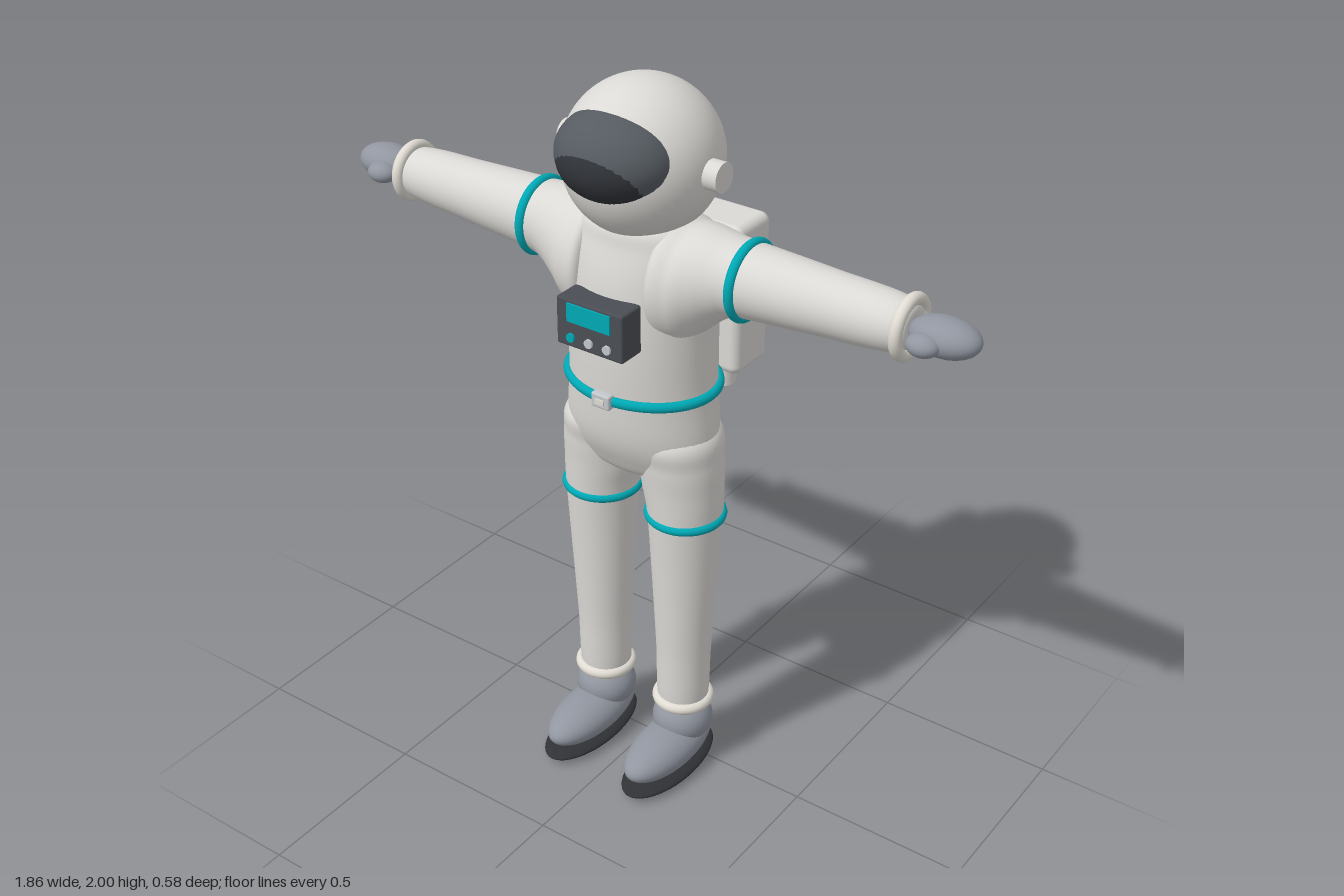
import * as THREE from 'three';
import { RoundedBoxGeometry } from 'three/addons/geometries/RoundedBoxGeometry.js';

const mat = (name, color) => {
  const m = new THREE.MeshStandardMaterial({ color });
  m.name = name;
  return m;
};

// Smooth closed loft along y through sections [y, xOffset, xRadius, zRadius].
function loft(sections, steps = 48, sides = 48) {
  const path = new THREE.SplineCurve(sections.map(s => new THREE.Vector2(s[0], s[1])));
  const size = new THREE.SplineCurve(sections.map(s => new THREE.Vector2(s[2], s[3])));
  const pos = [], index = [];
  for (let i = 0; i <= steps; i++) {
    const p = path.getPoint(i / steps), r = size.getPoint(i / steps);
    for (let j = 0; j < sides; j++) {
      const a = (j / sides) * Math.PI * 2;
      pos.push(p.y + r.x * Math.cos(a), p.x, r.y * Math.sin(a));
      if (i === steps) continue;
      const k = i * sides + j, n = i * sides + (j + 1) % sides;
      index.push(k, k + sides, n, n, k + sides, n + sides);
    }
  }
  const g = new THREE.BufferGeometry();
  g.setAttribute('position', new THREE.Float32BufferAttribute(pos, 3));
  g.setIndex(index);
  g.computeVertexNormals();
  return g;
}

export function createModel() {
  const suit = mat('suit fabric', 0xdbd9d5);
  const cuff = mat('cuff ivory', 0xe0dcd3);
  const teal = mat('teal trim', 0x00a9b5);
  const grey = mat('glove grey', 0x9196a0);
  const dark = mat('sole black', 0x303236);
  const rim = mat('visor rim', 0x555b61);
  const glass = mat('visor glass', 0x303338);
  const casing = mat('panel casing', 0x4a4e54);
  const silver = mat('silver', 0xc4c8cc);

  const model = new THREE.Group();
  model.name = 'astronaut';
  const figure = new THREE.Group();
  figure.name = 'figure';
  figure.position.z = 0.03;
  model.add(figure);

  const add = (name, geometry, material, x = 0, y = 0, z = 0) => {
    const m = new THREE.Mesh(geometry, material);
    m.name = name;
    m.position.set(x, y, z);
    figure.add(m);
    return m;
  };
  const ball = (name, material, x, y, z, rx, ry, rz) => {
    const m = add(name, new THREE.SphereGeometry(1, 48, 32), material, x, y, z);
    m.scale.set(rx, ry, rz);
    return m;
  };
  const ring = (name, material, x, y, radius, tube, acrossX = false) => {
    const g = new THREE.TorusGeometry(radius, tube, 14, 56);
    if (acrossX) g.rotateY(Math.PI / 2); else g.rotateX(Math.PI / 2);
    return add(name, g, material, x, y, 0);
  };

  // Torso
  add('torso', loft([
    [0.92, 0, 0, 0], [0.945, 0, 0.16, 0.085], [1.0, 0, 0.213, 0.125], [1.08, 0, 0.215, 0.155],
    [1.2, 0, 0.203, 0.166], [1.35, 0, 0.2, 0.17], [1.5, 0, 0.2, 0.16], [1.6, 0, 0.19, 0.135],
    [1.66, 0, 0.14, 0.11], [1.68, 0, 0, 0],
  ], 72), suit);

  // Belt with buckle
  ring('belt', teal, 0, 1.2, 0.205, 0.014).scale.z = 0.82;
  add('buckle', new RoundedBoxGeometry(0.056, 0.04, 0.024, 2, 0.005), silver, 0, 1.2, 0.175);
  add('buckleInset', new THREE.BoxGeometry(0.026, 0.014, 0.006), cuff, 0, 1.2, 0.188);

  // Helmet and visor
  ball('helmet', suit, 0, 1.8, 0, 0.2, 0.2, 0.205);
  ball('visorRim', rim, 0, 1.838, 0.1, 0.16, 0.116, 0.14);
  ball('visorGlass', glass, 0, 1.83, 0.1, 0.153, 0.108, 0.145);

  for (const s of [1, -1]) {
    const side = s > 0 ? 'left' : 'right';

    // Helmet ear cap
    const ear = new THREE.CylinderGeometry(0.038, 0.038, 0.06, 32).rotateZ(Math.PI / 2);
    add(side + 'EarCap', ear, suit, s * 0.205, 1.8, 0);

    // Arm, flaring into the torso
    const arm = loft([
      [0.08, -1.51, 0, 0], [0.1, -1.51, 0.15, 0.14], [0.16, -1.508, 0.155, 0.142],
      [0.21, -1.53, 0.132, 0.122], [0.26, -1.548, 0.108, 0.103], [0.315, -1.557, 0.095, 0.095],
      [0.52, -1.562, 0.082, 0.082], [0.74, -1.567, 0.063, 0.066], [0.75, -1.567, 0, 0],
    ], 64).rotateZ(-Math.PI / 2);
    if (s < 0) arm.rotateY(Math.PI);
    add(side + 'Arm', arm, suit);
    ring(side + 'ShoulderBand', teal, s * 0.315, 1.556, 0.094, 0.013, true);
    ring(side + 'WristCuff', cuff, s * 0.747, 1.567, 0.068, 0.016, true);

    // Glove
    ball(side + 'Glove', grey, s * 0.838, 1.57, 0, 0.09, 0.047, 0.06);
    ball(side + 'Thumb', grey, s * 0.812, 1.565, 0.055, 0.042, 0.028, 0.037);

    // Leg
    add(side + 'Leg', loft([
      [0.17, s * 0.133, 0, 0], [0.18, s * 0.133, 0.064, 0.064], [0.4, s * 0.134, 0.076, 0.076],
      [0.65, s * 0.135, 0.09, 0.09], [0.83, s * 0.134, 0.1, 0.102], [0.92, s * 0.126, 0.109, 0.108],
      [1.0, s * 0.12, 0.112, 0.115], [1.08, s * 0.108, 0.105, 0.115], [1.15, s * 0.1, 0, 0],
    ], 64), suit);
    ring(side + 'KneeBand', teal, s * 0.135, 0.825, 0.097, 0.013);
    ring(side + 'AnkleCuff', cuff, s * 0.134, 0.213, 0.07, 0.016);

    // Boot
    ball(side + 'BootAnkle', grey, s * 0.133, 0.14, 0, 0.084, 0.075, 0.084);
    ball(side + 'BootFoot', grey, s * 0.133, 0.08, 0.07, 0.08, 0.06, 0.18);
    ball(side + 'BootSole', dark, s * 0.135, 0.022, 0.073, 0.086, 0.022, 0.187);

    // Backpack nozzle
    add(side + 'Nozzle', new THREE.CylinderGeometry(0.037, 0.037, 0.1, 32), suit, s * 0.08, 1.14, -0.247);
  }

  // Backpack
  add('backpack', new RoundedBoxGeometry(0.35, 0.42, 0.15, 4, 0.025), suit, 0, 1.37, -0.242);
  add('backpackBand', new RoundedBoxGeometry(0.364, 0.036, 0.162, 2, 0.008), teal, 0, 1.35, -0.243);

  // Chest control panel
  add('chestPanel', new RoundedBoxGeometry(0.2, 0.13, 0.08, 2, 0.006), casing, 0, 1.42, 0.185);
  add('panelScreen', new THREE.BoxGeometry(0.13, 0.05, 0.008), teal, 0, 1.452, 0.226);
  [-0.055, 0, 0.055].forEach((x, i) => {
    const button = new THREE.CylinderGeometry(0.012, 0.012, 0.009, 20).rotateX(Math.PI / 2);
    add('panelButton' + (i + 1), button, i ? silver : teal, x, 1.383, 0.227);
  });

  return model;
}
